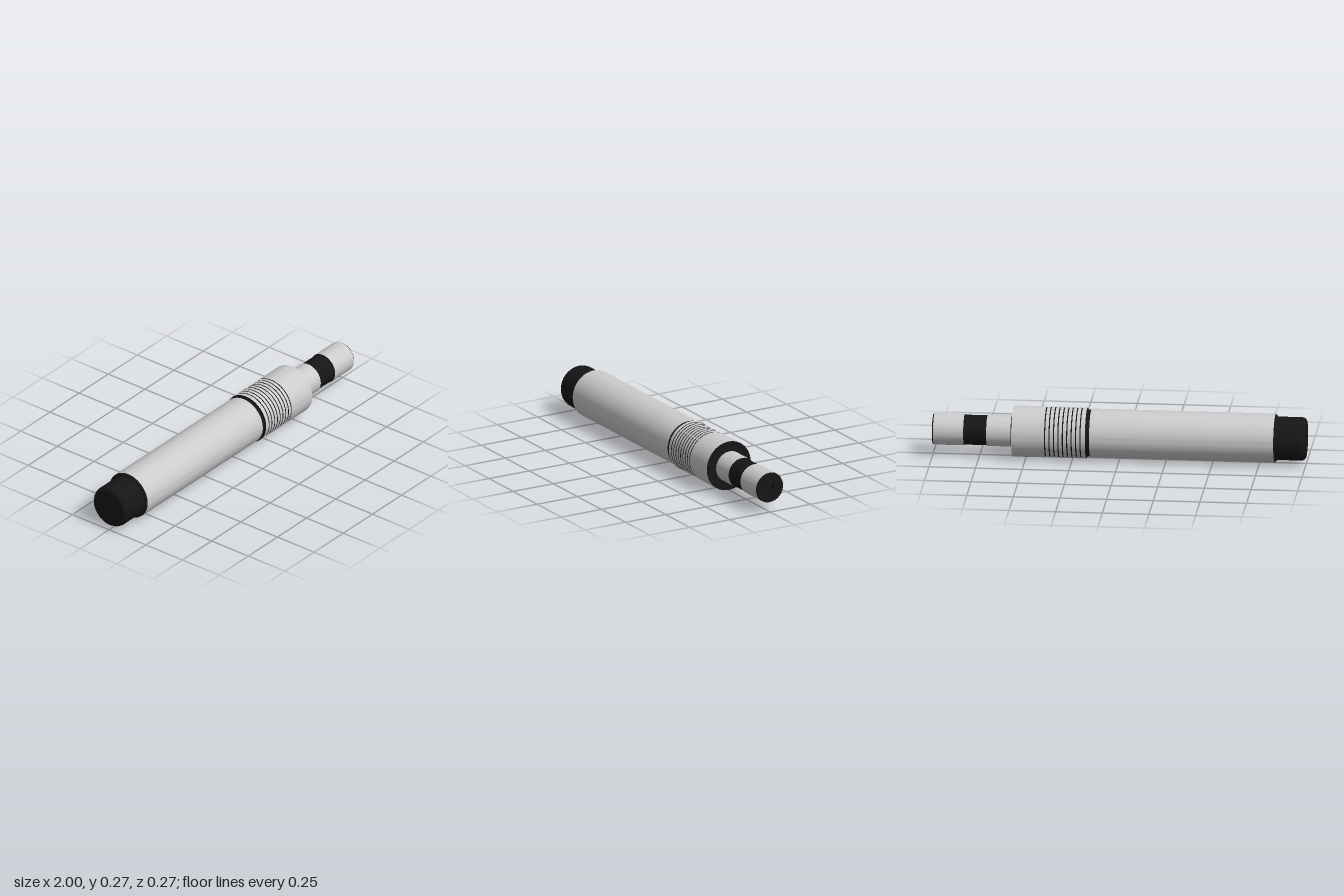
import * as THREE from 'three';
import { toCreasedNormals } from 'three/addons/utils/BufferGeometryUtils.js';

const SIDES = 96;
const COLLAR_R = 0.1365;
const grey = new THREE.MeshStandardMaterial({ color: 0xcccccc });
const dark = new THREE.MeshStandardMaterial({ color: 0x161616 });

// Turned part: profile of [x, radius] pairs running from -x to +x
function turned(name, profile, material) {
  const points = profile.map(([x, r]) => new THREE.Vector2(r, x));
  const geometry = toCreasedNormals(new THREE.LatheGeometry(points, SIDES), 0.5);
  geometry.rotateZ(-Math.PI / 2);
  const mesh = new THREE.Mesh(geometry, material);
  mesh.name = name;
  return mesh;
}

export function createModel() {
  const group = new THREE.Group();
  group.name = 'cylindricalProbe';
  group.position.y = COLLAR_R;
  const add = (...args) => group.add(turned(...args));

  // Rounded dark cap at the rear
  add('endCap', [
    [-1, 0], [-1, 0.1], [-0.995, 0.108], [-0.985, 0.114], [-0.975, 0.116], [-0.83, 0.116],
  ], dark);

  // Long main tube: dark core with bevelled rear edge, grey skin
  add('bodyCore', [
    [-0.842, 0], [-0.842, 0.122], [-0.834, 0.13], [0.153, 0.13], [0.153, 0],
  ], dark);
  add('bodyTube', [[-0.834, 0.131], [0.153, 0.131]], grey);

  // Dark seal between tube and collar
  add('sealRing', [[0.15, 0.126], [0.178, 0.126]], dark);

  // Collar core, exposed in the grooves and on both end faces
  const grooveR = COLLAR_R - 0.004;
  add('collarCore', [
    [0.175, 0], [0.175, COLLAR_R - 0.0005], [0.178, COLLAR_R - 0.0005], [0.178, grooveR],
    [0.565, grooveR], [0.565, COLLAR_R - 0.0005], [0.57, COLLAR_R - 0.0005], [0.57, 0],
  ], dark);

  // Grey collar rings separated by narrow grooves
  const grooves = 9, first = 0.201, pitch = 0.0237, halfGap = 0.003;
  let start = 0.175;
  for (let i = 0; i <= grooves; i++) {
    const centre = first + i * pitch;
    const end = i < grooves ? centre - halfGap : 0.57;
    add(i < grooves ? 'collarRing' : 'collarSleeve', [[start, COLLAR_R], [end, COLLAR_R]], grey);
    start = centre + halfGap;
  }

  // Stepped shaft with dark waist, bevelled tip and a blind hole in the end
  add('shaftCore', [
    [0.56, 0.079], [0.573, 0.079], [0.579, 0.083], [0.709, 0.083], [0.709, 0.08],
    [0.832, 0.08], [0.832, 0.083], [0.993, 0.083], [1, 0.08],
    [1, 0.028], [0.97, 0.028], [0.97, 0],
  ], dark);
  add('shaftSleeve', [[0.579, 0.084], [0.709, 0.084]], grey);
  add('tipSleeve', [[0.832, 0.084], [0.994, 0.084]], grey);

  return group;
}
